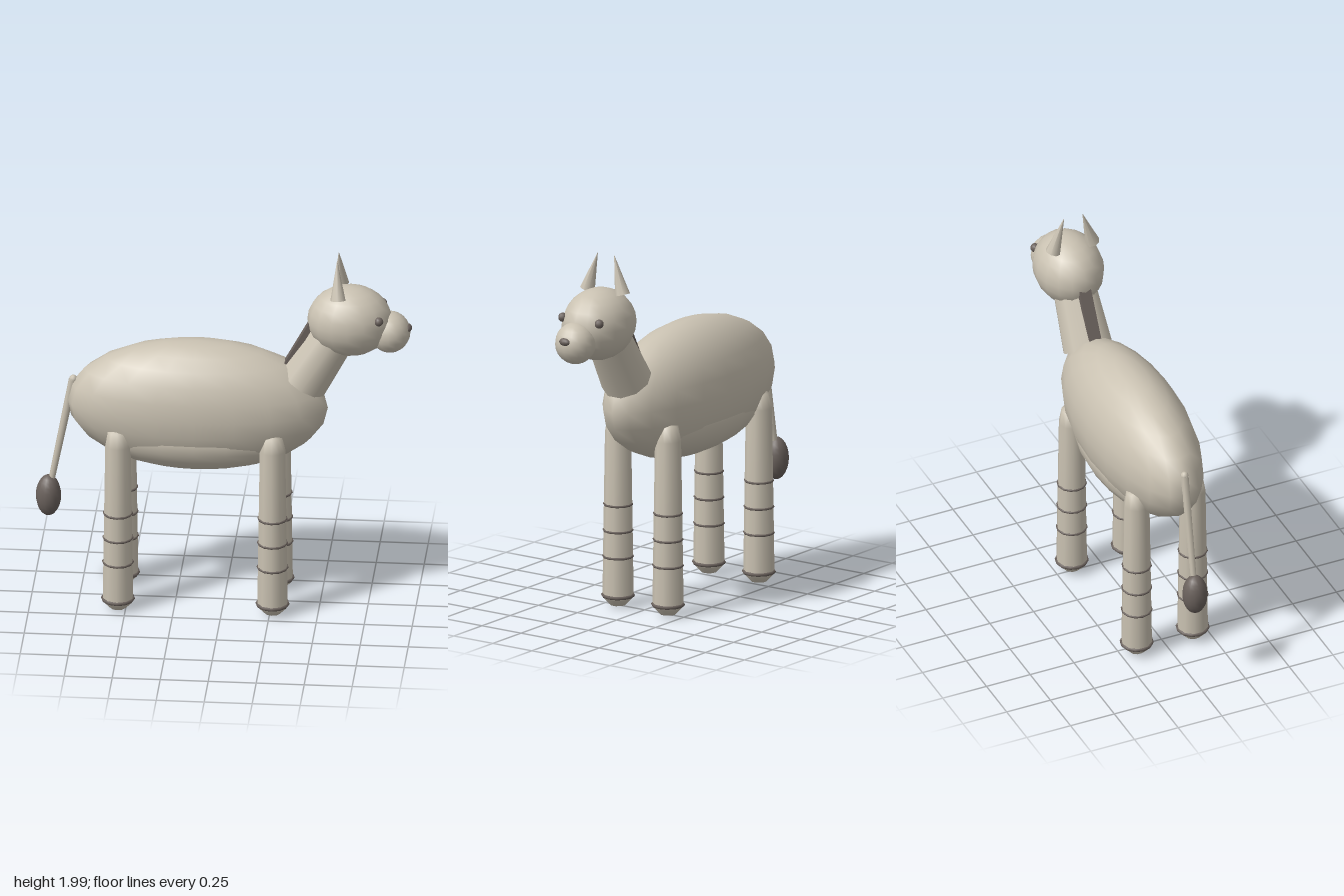
import * as THREE from 'three';

const mat = (name, color) => {
  const m = new THREE.MeshStandardMaterial({ color });
  m.name = name;
  return m;
};

export function createModel() {
  const coat = mat('warm grey coat', 0xcac2b2);
  const dark = mat('dark brown grey', 0x6b625d);
  const group = new THREE.Group();

  const add = (name, geometry, material, parent = group) => {
    const mesh = new THREE.Mesh(geometry, material);
    mesh.name = name;
    parent.add(mesh);
    return mesh;
  };
  // Ellipsoid with its poles up and down
  const ball = (name, material, pos, radii, w = 16, h = 12, parent = group) => {
    const mesh = add(name, new THREE.SphereGeometry(1, w, h), material, parent);
    mesh.position.set(...pos);
    mesh.scale.set(...radii);
    return mesh;
  };
  // Tapered round bar between two points
  const bar = (name, material, from, to, r0, r1, sides) => {
    const a = new THREE.Vector3(...from), b = new THREE.Vector3(...to);
    const d = b.clone().sub(a);
    const mesh = add(name, new THREE.CylinderGeometry(r1, r0, d.length(), sides), material);
    mesh.position.copy(a).add(b).multiplyScalar(0.5);
    mesh.quaternion.setFromUnitVectors(new THREE.Vector3(0, 1, 0), d.normalize());
    return mesh;
  };

  // Torso
  ball('body', coat, [-0.14, 1.13, 0], [0.68, 0.36, 0.262], 20, 12);
  ball('belly', coat, [-0.14, 0.98, 0], [0.55, 0.2, 0.24], 20, 12);

  // Neck with a dark strip down the back
  bar('neck', coat, [0.41, 1.28, 0], [0.59, 1.575, 0], 0.135, 0.115, 10);
  const mane = add('mane', new THREE.BoxGeometry(0.03, 0.3, 0.065), dark);
  mane.position.set(0.387, 1.49, 0);
  mane.rotation.z = -0.5;

  // Head
  ball('head', coat, [0.655, 1.64, 0], [0.222, 0.19, 0.18]);
  ball('muzzle', coat, [0.863, 1.58, 0], [0.107, 0.11, 0.108]);
  ball('nose', dark, [0.957, 1.606, 0], [0.022, 0.021, 0.034], 10, 8);
  for (const s of [1, -1]) {
    const side = s > 0 ? 'left' : 'right';
    ball(side + 'Eye', dark, [0.815, 1.69, s * 0.117], [0.024, 0.024, 0.024], 10, 8);
    bar(side + 'Ear', coat, [0.602, 1.8, s * 0.112], [0.593, 2.0, s * 0.053], 0.04, 0.001, 8);
  }

  // Legs with rounded feet and thin bands
  for (const [place, x] of [['front', 0.265], ['back', -0.54]]) {
    for (const s of [1, -1]) {
      const leg = new THREE.Group();
      leg.name = place + (s > 0 ? 'Left' : 'Right') + 'Leg';
      leg.position.set(x, 0, s * 0.16);
      group.add(leg);
      const profile = [[0, 0.01], [0.042, 0.018], [0.078, 0.055], [0.081, 0.075],
        [0.074, 0.56], [0.068, 0.95], [0.054, 1.03], [0, 1.055]]
        .map(p => new THREE.Vector2(...p));
      add('shank', new THREE.LatheGeometry(profile, 10), coat, leg);
      for (const [y, r] of [[0.07, 0.081], [0.28, 0.079], [0.42, 0.077], [0.56, 0.075]]) {
        const tube = y < 0.1 ? 0.01 : 0.0065;
        const band = add('band', new THREE.TorusGeometry(r - 0.002, tube, 6, 12), dark, leg);
        band.rotation.x = Math.PI / 2;
        band.position.y = y;
      }
    }
  }

  // Tail
  ball('tailRoot', coat, [-0.786, 1.242, 0], [0.022, 0.024, 0.022], 8, 6);
  bar('tail', coat, [-0.788, 1.24, 0], [-0.907, 0.62, 0], 0.022, 0.016, 8);
  ball('tailTuft', dark, [-0.915, 0.572, 0], [0.066, 0.114, 0.066], 14, 12);

  return group;
}
